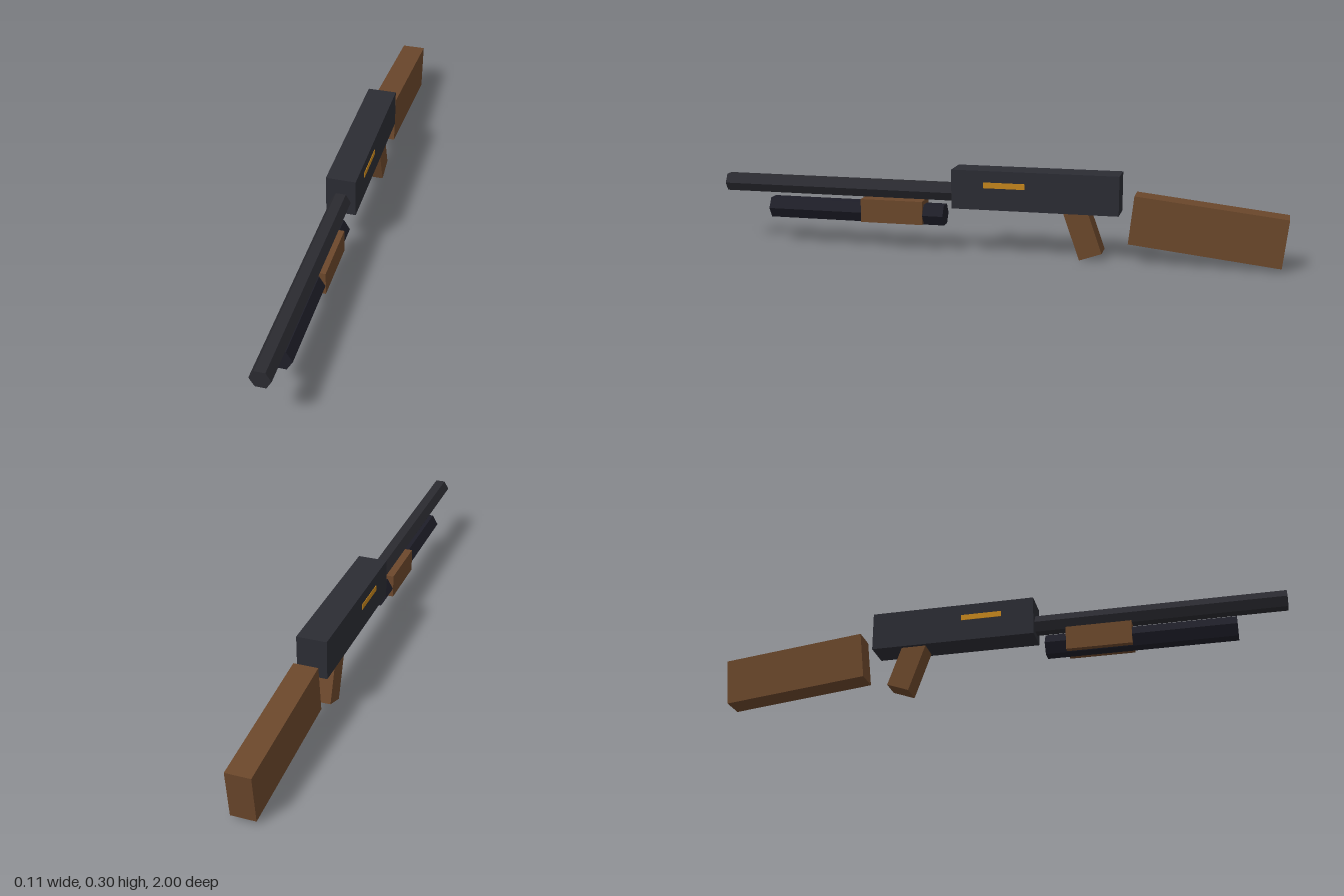
import * as THREE from 'three';

const material = (name, color) => {
  const m = new THREE.MeshStandardMaterial({ color, flatShading: true });
  m.name = name;
  return m;
};

export function createModel() {
  const group = new THREE.Group();
  const receiverSteel = material('receiver steel', 0x2b2c33);
  const barrelSteel = material('barrel steel', 0x2a2a30);
  const tubeSteel = material('tube steel', 0x1e1e28);
  const wood = material('wood', 0x6b472b);
  const brass = material('brass', 0xc4851c);

  const add = (name, geometry, mat, x, y, z, tilt = 0) => {
    const mesh = new THREE.Mesh(geometry, mat);
    mesh.name = name;
    mesh.position.set(x, y, z);
    mesh.rotation.x = tilt;
    group.add(mesh);
  };
  const box = (name, mat, [w, h, d], [x, y, z], tilt) =>
    add(name, new THREE.BoxGeometry(w, h, d), mat, x, y, z, tilt);
  // Six-sided bar along z, flat on top and bottom
  const hexBar = (name, mat, radius, y, back, front) => {
    const g = new THREE.CylinderGeometry(radius, radius, front - back, 6);
    g.rotateY(Math.PI / 6).rotateX(Math.PI / 2);
    add(name, g, mat, 0, y, (front + back) / 2);
  };

  // Metal body, barrel and magazine tube
  box('receiver', receiverSteel, [0.103, 0.137, 0.583], [0, 0.2335, -0.1475]);
  hexBar('barrel', barrelSteel, 0.0345, 0.215, 0.13, 1);
  hexBar('magazineTube', tubeSteel, 0.041, 0.13, 0.18, 0.83);

  // Wooden furniture
  box('foreEnd', wood, [0.084, 0.083, 0.226], [0, 0.1385, 0.367]);
  box('grip', wood, [0.077, 0.2, 0.082], [0, 0.109, -0.31], 0.34);
  box('stock', wood, [0.084, 0.168, 0.513], [0, 0.124, -0.735], -0.11);

  // Brass plate on each side of the receiver
  for (const side of [1, -1]) {
    box(side > 0 ? 'leftPlate' : 'rightPlate', brass,
      [0.004, 0.02, 0.145], [side * 0.0512, 0.252, -0.0425]);
  }
  return group;
}
